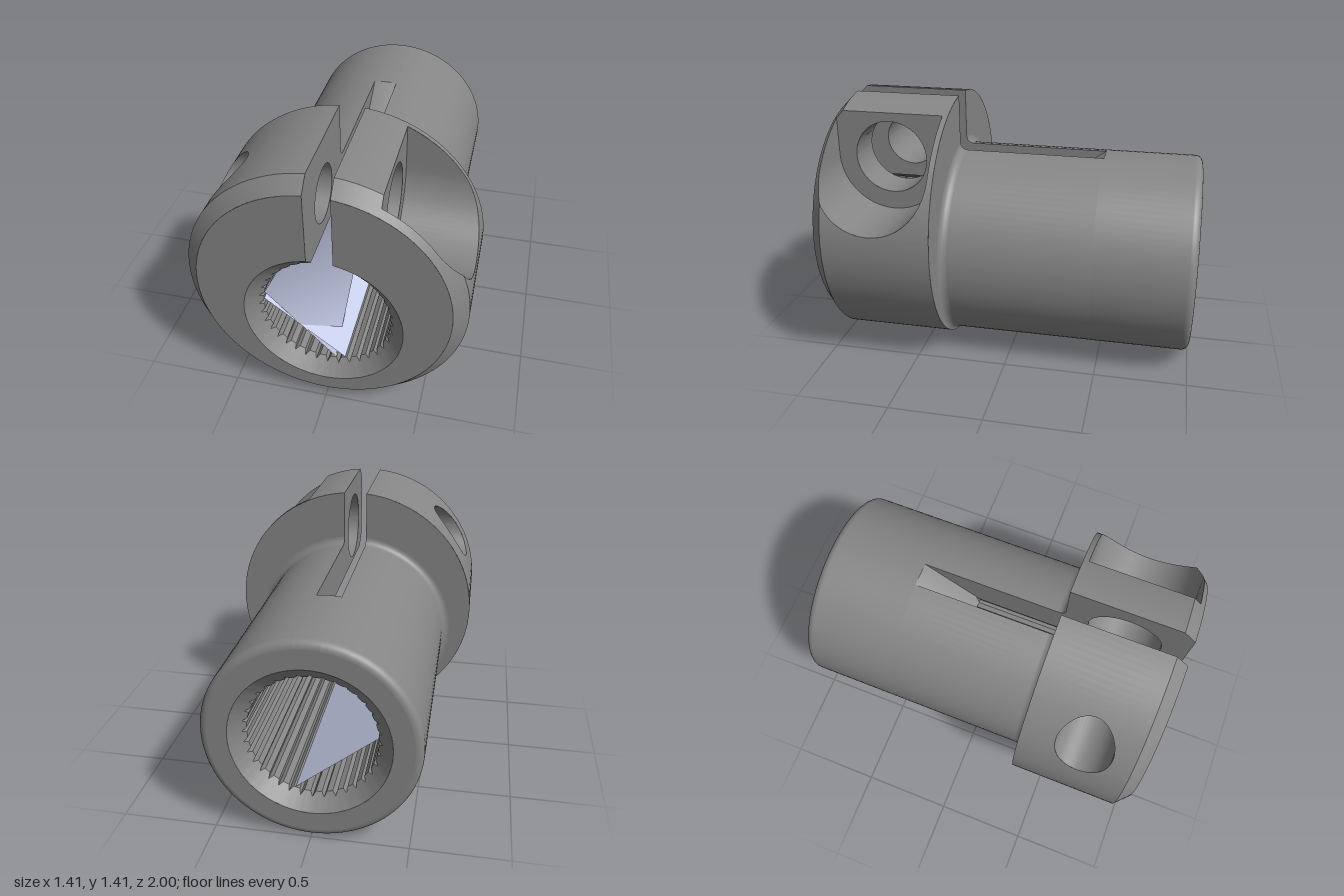
import * as THREE from 'three';

const { PI, cos, sin, acos, asin, sqrt, min, max, abs } = Math;
const metal = new THREE.MeshStandardMaterial({ color: 0x868686, side: THREE.DoubleSide });
const facetedMetal = new THREE.MeshStandardMaterial({ color: 0x868686, side: THREE.DoubleSide, flatShading: true });
const lilac = new THREE.MeshStandardMaterial({ color: 0xcad1ee });
const lilacSheet = new THREE.MeshStandardMaterial({ color: 0xcad1ee, side: THREE.DoubleSide });

// Main sizes
const COLLAR_Y = 0.706, COLLAR_R = 0.706, COLLAR_BACK = 0.34, CHAMFER_Z = 0.93, FACE_R = 0.636;
const TUBE_Y = 0.555, TUBE_R = 0.55, ROUND = 0.04;
const SINK_R = 0.405, BORE_R = 0.328, GROOVE = 0.02, TEETH = 36;
const SLOT = 0.065, SLOT_TOP_Z = -0.47, SLOT_BORE_Z = -0.15;
const BOLT_Y = 1.105, BOLT_Z = 0.67, CLEAR_R = 0.2, BOLT_R = 0.15, POCKET_R = 0.3, POCKET_X = 0.285;

// Grid of points f(u, v), facing du x dv
function sheet(name, nu, nv, f, material = metal) {
  const pos = [], idx = [];
  for (let j = 0; j <= nv; j++) for (let i = 0; i <= nu; i++) pos.push(...f(i / nu, j / nv));
  for (let j = 0; j < nv; j++) for (let i = 0; i < nu; i++) {
    const a = j * (nu + 1) + i, d = a + nu + 1;
    idx.push(a, a + 1, d + 1, a, d + 1, d);
  }
  const g = new THREE.BufferGeometry();
  g.setAttribute('position', new THREE.Float32BufferAttribute(pos, 3));
  g.setIndex(idx);
  g.computeVertexNormals();
  const mesh = new THREE.Mesh(g, material);
  mesh.name = name;
  return mesh;
}

// Turned surface: arc(t, r) gives the angle, profile is a list of angle => [r, z]
function turned(name, cy, arc, profile, nu = 96, material = metal) {
  const nv = profile.length - 1;
  return sheet(name, nu, nv, (u, v) => {
    const p = profile[Math.round(v * nv)];
    let a = arc(u, 0.55);
    for (let k = 0; k < 3; k++) a = arc(u, p(a)[0]);
    const [r, z] = p(a);
    return [r * cos(a), cy + r * sin(a), z];
  }, material);
}

// Flat face in a plane of constant x; points are [z, y], dir is the way it faces
function sideFace(name, x, dir, points, holeR) {
  const shape = new THREE.Shape(points.map(([z, y]) => new THREE.Vector2(-dir * z, y)));
  shape.holes.push(new THREE.Path().absarc(-dir * BOLT_Z, BOLT_Y, holeR, 0, 2 * PI, true));
  const mesh = new THREE.Mesh(new THREE.ShapeGeometry(shape, 32).rotateY(dir * PI / 2).translate(x, 0, 0), metal);
  mesh.name = name;
  return mesh;
}

const steps = (n, f) => Array.from({ length: n + 1 }, (_, i) => f(i / n));
const at = (r, z) => () => [r, z];
const slotStart = r => PI - acos(SLOT / r);
const slotEnd = r => 2 * PI + acos(SLOT / r);
const between = (a, b) => (t, r) => a(r) + (b(r) - a(r)) * t;
const slotted = between(slotStart, slotEnd);
const slotGap = between(r => acos(SLOT / r), slotStart);

const collarRadius = z => COLLAR_R - max(0, z - CHAMFER_Z);
const collarX = (y, z) => sqrt(max(0, collarRadius(z) ** 2 - (y - COLLAR_Y) ** 2));
// Distance from the tube axis to a circle round the collar axis
const rim = (R, a) => {
  const e = COLLAR_Y - TUBE_Y;
  return e * sin(a) + sqrt(R * R - (e * cos(a)) ** 2);
};

function addCollar(g) {
  const right = y => r => 2 * PI + asin((y - COLLAR_Y) / r);
  const left = y => r => PI - asin((y - COLLAR_Y) / r);
  const pocketEdge = r => 2 * PI + acos(POCKET_X / r);
  const round = R => y => sqrt(max(0, R * R - (y - BOLT_Y) ** 2));
  const holeTop = left(BOLT_Y + BOLT_R), holeLow = left(BOLT_Y - BOLT_R), pocketLow = right(BOLT_Y - POCKET_R);
  const bands = [
    [slotStart, holeTop, 12], [holeTop, holeLow, 40, round(BOLT_R)], [holeLow, pocketLow, 72],
    [pocketLow, pocketEdge, 48, y => (y > BOLT_Y ? POCKET_R : round(POCKET_R)(y))], [pocketEdge, slotEnd, 10],
  ];
  for (const [from, to, n, half] of bands) {
    const line = between(from, to);
    const wall = (arc, ...p) => g.add(turned('collarWall', COLLAR_Y, arc, p, n));
    if (!half) {
      wall(line, at(COLLAR_R, COLLAR_BACK), at(COLLAR_R, CHAMFER_Z));
      g.add(turned('collarChamfer', COLLAR_Y, line, [at(COLLAR_R, CHAMFER_Z), at(FACE_R, 1)], n));
      continue;
    }
    // Wall split in front of and behind the opening
    const arc = (t, r) => line((1 - cos(PI * t)) / 2, r);
    const low = a => BOLT_Z - half(COLLAR_Y + COLLAR_R * sin(a));
    const high = a => {
      let z = CHAMFER_Z;
      for (let k = 0; k < 4; k++) z = BOLT_Z + half(COLLAR_Y + collarRadius(z) * sin(a));
      return z;
    };
    const onWall = z => [collarRadius(z), z];
    wall(arc, at(COLLAR_R, COLLAR_BACK), a => onWall(low(a)));
    wall(arc, a => onWall(min(high(a), CHAMFER_Z)), at(COLLAR_R, CHAMFER_Z));
    g.add(turned('collarChamfer', COLLAR_Y, arc, [a => onWall(max(high(a), CHAMFER_Z)), at(FACE_R, 1)], n));
  }
  g.add(turned('collarFrontFace', TUBE_Y, slotted, [a => [rim(FACE_R, a), 1], at(SINK_R, 1)]));
}

function addTube(g) {
  const fillet = a => min(ROUND, max(0.001, rim(COLLAR_R, a) - TUBE_R));
  // Closed rear part, in two arcs that line up with the slot
  for (const [arc, n] of [[slotted, 96], [slotGap, 8]]) {
    g.add(turned('tubeBackFace', TUBE_Y, arc, [at(SINK_R, -1), at(TUBE_R - ROUND, -1)], n));
    g.add(turned('tubeRoundedEdge', TUBE_Y, arc, steps(6, t =>
      at(TUBE_R - ROUND + ROUND * sin(t * PI / 2), -1 + ROUND - ROUND * cos(t * PI / 2))), n));
    g.add(turned('tubeWall', TUBE_Y, arc, [at(TUBE_R, -1 + ROUND), at(TUBE_R, SLOT_TOP_Z)], n));
  }
  g.add(turned('slottedTubeWall', TUBE_Y, slotted, [at(TUBE_R, SLOT_TOP_Z), a => [TUBE_R, COLLAR_BACK - fillet(a)]]));
  g.add(turned('tubeFillet', TUBE_Y, slotted, steps(6, t => a => {
    const f = fillet(a);
    return [TUBE_R + f - f * cos(t * PI / 2), COLLAR_BACK - f + f * sin(t * PI / 2)];
  })));
  g.add(turned('collarBackFace', TUBE_Y, slotted,
    [a => [TUBE_R + fillet(a), COLLAR_BACK], a => [rim(COLLAR_R, a), COLLAR_BACK]]));
}

function addBore(g) {
  // V grooves spaced evenly round the bore
  const pitch = 2 * PI / TEETH, w = pitch * 0.22;
  const boreR = a => BORE_R + GROOVE * max(0, 1 - abs(a - Math.round(a / pitch) * pitch) / w);
  const angles = [];
  for (let k = 0; k < TEETH; k++) {
    const a = PI / 2 + k * pitch;
    angles.push(a, a + w, a + pitch - w);
  }
  angles.push(PI / 2 + 2 * PI);
  const pick = list => t => list[Math.round(t * (list.length - 1))];
  const open = angles.slice(2, -2), all = pick(angles), some = pick(open);
  const clipped = (t, r) => min(slotEnd(r), max(slotStart(r), some(t)));
  const sink = s => a => [boreR(a), s * (1 - SINK_R + boreR(a))];
  const part = (name, arc, n, ...p) => g.add(turned(name, TUBE_Y, arc, p, n, facetedMetal));
  part('frontCountersink', clipped, open.length - 1, at(SINK_R, 1), sink(1));
  part('slottedSplineBore', clipped, open.length - 1, sink(1), a => [boreR(a), SLOT_BORE_Z]);
  part('splineBore', all, angles.length - 1, a => [boreR(a), SLOT_BORE_Z], sink(-1));
  part('backCountersink', all, angles.length - 1, sink(-1), at(SINK_R, -1));
}

// Thin lilac facets spanning the bore
function addLiner(g) {
  const end = 0.92, rad = THREE.MathUtils.degToRad;
  const point = (deg, z) => [BORE_R * cos(rad(deg)), TUBE_Y + BORE_R * sin(rad(deg)), z];
  g.add(sheet('lowerLinerFacet', 1, 1, (u, v) => point(u < 0.5 ? 286 : 176, end * (1 - 2 * v)), lilacSheet));
  const corners = [[95, -end], [168, end], [277, end]];
  const facet = new THREE.BufferGeometry();
  facet.setAttribute('position', new THREE.Float32BufferAttribute(corners.flatMap(c => point(...c)), 3));
  facet.setAttribute('normal', new THREE.Float32BufferAttribute(
    corners.flatMap(([d]) => [cos(rad(d)), sin(rad(d)), 0]), 3));
  const mesh = new THREE.Mesh(facet, lilac);
  mesh.name = 'slantedLinerFacet';
  g.add(mesh);
}

function addSlot(g) {
  const top = (r, cy) => cy + sqrt(r * r - SLOT * SLOT);
  const boreTop = top(BORE_R + 0.004, TUBE_Y), tubeTop = top(TUBE_R, TUBE_Y);
  const outline = [
    [CHAMFER_Z, top(COLLAR_R, COLLAR_Y)], [1, top(FACE_R, COLLAR_Y)], [1, top(SINK_R, TUBE_Y)],
    [1 - SINK_R + BORE_R, boreTop], [SLOT_BORE_Z, boreTop], [SLOT_TOP_Z, tubeTop],
    ...steps(6, t => [COLLAR_BACK - ROUND + ROUND * sin(t * PI / 2), top(TUBE_R + ROUND - ROUND * cos(t * PI / 2), TUBE_Y)]),
    [COLLAR_BACK, top(COLLAR_R, COLLAR_Y)],
  ];
  g.add(sideFace('leftSlotWall', SLOT, -1, outline, CLEAR_R));
  g.add(sideFace('rightSlotWall', -SLOT, 1, outline, BOLT_R));
  // Sloping end of the slot, its top edge following the tube
  g.add(sheet('slotEnd', 8, 1, (u, v) => {
    const x = SLOT * (2 * u - 1);
    return v > 0.5 ? [x, TUBE_Y + sqrt(TUBE_R ** 2 - x * x), SLOT_TOP_Z] : [x, boreTop, SLOT_BORE_Z];
  }));
}

function addBoltSeat(g) {
  // U-shaped pocket, open at the top
  const zf = BOLT_Z + POCKET_R, zb = BOLT_Z - POCKET_R;
  const topAt = z => COLLAR_Y + sqrt(collarRadius(z) ** 2 - POCKET_X ** 2);
  const path = [
    ...steps(8, t => [zf, topAt(zf) + (BOLT_Y - topAt(zf)) * t]),
    ...steps(36, t => [BOLT_Z + POCKET_R * cos(PI * t), BOLT_Y - POCKET_R * sin(PI * t)]).slice(1),
    ...steps(8, t => [zb, BOLT_Y + (topAt(zb) - BOLT_Y) * t]).slice(1),
  ];
  g.add(sideFace('boltSeat', POCKET_X, 1, [...path, [CHAMFER_Z, topAt(CHAMFER_Z)]], CLEAR_R));
  g.add(sheet('boltPocketWall', path.length - 1, 1, (u, v) => {
    const [z, y] = path[Math.round(u * (path.length - 1))];
    return [v > 0.5 ? POCKET_X : max(POCKET_X, collarX(y, z)), y, z];
  }));
  // Bolt holes through both jaws
  const hole = (name, r, x0, x1) => g.add(sheet(name, 48, 1, (u, v) => {
    const y = BOLT_Y + r * sin(2 * PI * u), z = BOLT_Z + r * cos(2 * PI * u);
    return [v > 0.5 ? x1 : x0(y, z), y, z];
  }));
  hole('leftBoltHole', CLEAR_R, () => SLOT, POCKET_X);
  hole('rightBoltHole', BOLT_R, (y, z) => -collarX(y, z), -SLOT);
}

export function createModel() {
  const model = new THREE.Group();
  model.name = 'splinedClampCoupling';
  const parts = { collar: addCollar, tube: addTube, bore: addBore, liner: addLiner, slot: addSlot, boltSeat: addBoltSeat };
  for (const [name, add] of Object.entries(parts)) {
    const group = new THREE.Group();
    group.name = name;
    add(group);
    model.add(group);
  }
  return model;
}
